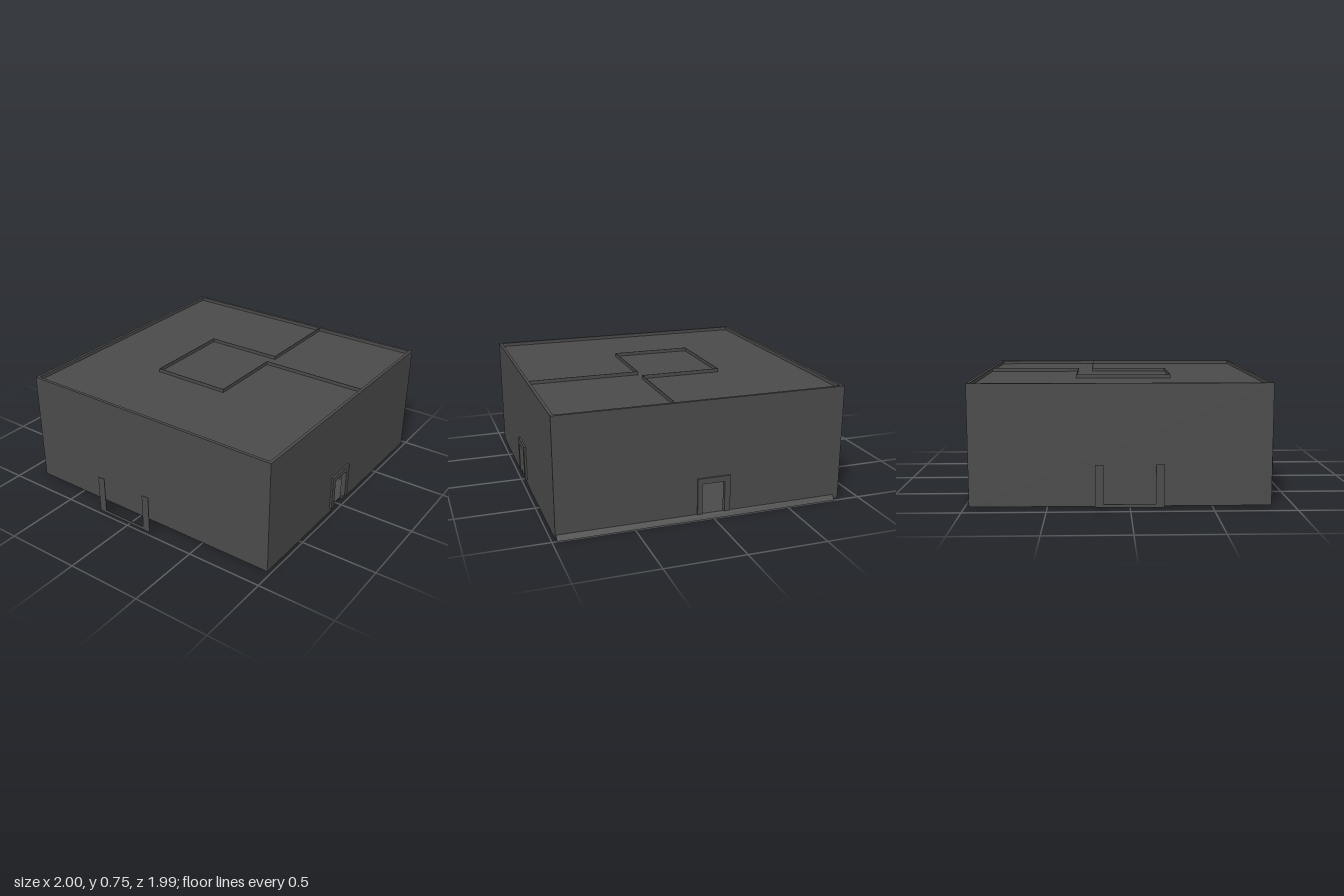
import * as THREE from 'three';

export function createModel() {
  const group = new THREE.Group();
  const stone = new THREE.MeshStandardMaterial({ color: 0x4b4b4b, side: THREE.DoubleSide });
  stone.name = 'dark grey stone';

  const MIN = -0.865, MAX = 0.975, HEIGHT = 0.75, THICK = 0.02;
  const MID = (MIN + MAX) / 2, SPAN = MAX - MIN;

  function add(geometry, name, parent = group) {
    const mesh = new THREE.Mesh(geometry, stone);
    mesh.name = name;
    parent.add(mesh);
    return mesh;
  }

  // box given by its low and high corners
  function block(name, a, b, parent) {
    const geometry = new THREE.BoxGeometry(b[0] - a[0], b[1] - a[1], b[2] - a[2]);
    geometry.translate((a[0] + b[0]) / 2, (a[1] + b[1]) / 2, (a[2] + b[2]) / 2);
    return add(geometry, name, parent);
  }

  function slab(points, depth, z) {
    const shape = new THREE.Shape(points.map(([x, y]) => new THREE.Vector2(x, y)));
    return new THREE.ExtrudeGeometry(shape, { depth, bevelEnabled: false }).translate(0, 0, z);
  }

  // wall with a doorway and raised surround, built facing +z
  function doorWall(name, left, right, [o0, o1], [f0, f1], sill, proud) {
    const wall = new THREE.Group();
    wall.name = name;
    add(slab([
      [left, 0], [o0, 0], [o0, 0.225], [o1, 0.225], [o1, 0], [right, 0],
      [right, HEIGHT], [left, HEIGHT],
    ], THICK, MAX - THICK), 'wallPanel', wall);
    add(slab([
      [f0, 0.03], [o0, 0.03], [o0, 0.225], [o1, 0.225], [o1, 0.03], [f1, 0.03],
      [f1, 0.262], [f0, 0.262],
    ], proud, MAX), 'doorSurround', wall);
    if (sill) block('doorSill', [o0, 0, MAX - THICK], [o1, 0.03, MAX], wall);
    group.add(wall);
    return wall;
  }

  doorWall('frontWall', MIN, MAX, [-0.085, 0.06], [-0.12, 0.098], false, 0.013);
  doorWall('sideWall', -MAX, -MIN, [-0.07, 0.075], [-0.1, 0.112], true, 0.009).rotation.y = Math.PI / 2;

  // plain walls
  block('backWall', [MIN, 0, MIN], [MAX, HEIGHT, MIN + THICK]);
  block('plainSideWall', [MIN, 0, MIN], [MIN + THICK, HEIGHT, MAX]);

  // floor and ceiling, set in from the wall edges
  for (const [name, y] of [['floor', 0.025], ['ceiling', 0.725]]) {
    const geometry = new THREE.BoxGeometry(SPAN - 0.02, 0.004, SPAN - 0.02);
    add(geometry.translate(MID, y, MID), name);
  }

  // winding partition between the two doorways
  const path = [
    [0.235, 0.96], [0.235, 0.24], [-0.285, 0.24], [-0.285, -0.285],
    [0.335, -0.285], [0.335, 0.24], [0.96, 0.24],
  ];
  for (let i = 1; i < path.length; i++) {
    const [x0, z0] = path[i - 1], [x1, z1] = path[i];
    block('partition',
      [Math.min(x0, x1) - 0.002, 0, Math.min(z0, z1) - 0.002],
      [Math.max(x0, x1) + 0.002, HEIGHT, Math.max(z0, z1) + 0.002]);
  }

  // sloping skirt along the foot of the side wall
  const skirt = new THREE.PlaneGeometry(1.8, 0.04);
  skirt.rotateX(-Math.atan2(0.025, 0.03)).rotateY(Math.PI / 2).translate(0.987, 0.015, 0.07);
  add(skirt, 'skirt');

  // open U-shaped frames standing clear of the plain walls
  const uShape = [
    [-0.21, 0.025], [0.2, 0.025], [0.2, 0.282], [0.15, 0.282],
    [0.15, 0.045], [-0.16, 0.045], [-0.16, 0.282], [-0.21, 0.282],
  ];
  const backFrame = add(slab(uShape, 0.004, 0.996), 'backFrame');
  backFrame.rotation.y = Math.PI;
  const sideFrame = add(slab(uShape, 0.004, 0.996), 'sideFrame');
  sideFrame.rotation.y = -Math.PI / 2;
  sideFrame.position.z = -0.015;

  return group;
}
